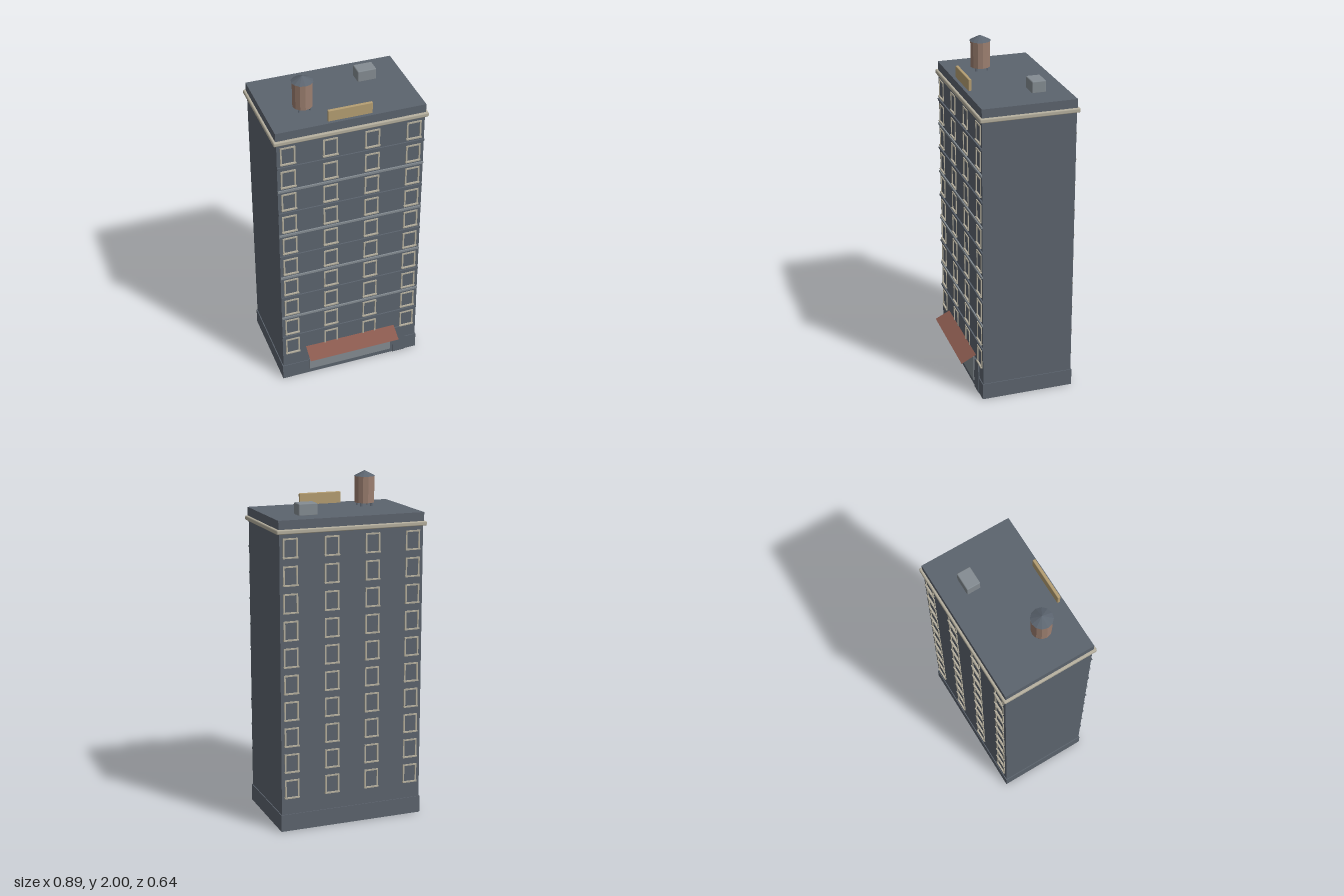
import * as THREE from 'three';
import { RoundedBoxGeometry } from 'three/addons/geometries/RoundedBoxGeometry.js';

const paint = (name, color, extra = {}) => {
  const m = new THREE.MeshStandardMaterial({ color, ...extra });
  m.name = name;
  return m;
};

export function createModel() {
  const wall = paint('slate wall', 0x5c646e);
  const stone = paint('pale stone', 0xb5af9e);
  const grey = paint('light grey', 0x848c92);
  const wood = paint('tank wood', 0x9c7f70, { flatShading: true });
  const capGrey = paint('tank cap', 0x5c6570, { flatShading: true });
  const tan = paint('tan board', 0xb59e72);
  const red = paint('awning red', 0x8a5a4e, { side: THREE.DoubleSide });

  const model = new THREE.Group();
  model.name = 'towerBlock';
  const add = (name, geo, mat, x, y, z, parent = model) => {
    const mesh = new THREE.Mesh(geo, mat);
    mesh.name = name;
    mesh.position.set(x, y, z);
    parent.add(mesh);
    return mesh;
  };
  // Box given by its bottom height
  const box = (name, mat, w, h, d, x, y0, z, parent) =>
    add(name, new THREE.BoxGeometry(w, h, d), mat, x, y0 + h / 2, z, parent);
  // Box with small chamfered edges
  const softBox = (name, mat, w, h, d, x, y0, z, r) =>
    add(name, new RoundedBoxGeometry(w, h, d, 1, r), mat, x, y0 + h / 2, z);

  // Main block, plinth, parapet and cornice
  const cx = -0.002, cz = -0.037;
  const front = cz + 0.27, back = cz - 0.27;
  box('body', wall, 0.856, 1.68, 0.54, cx, 0.05, cz);
  box('plinth', wall, 0.866, 0.1, 0.55, cx, 0, cz);
  box('parapet', wall, 0.866, 0.07, 0.544, cx, 1.725, cz);
  softBox('cornice', stone, 0.893, 0.026, 0.572, cx, 1.719, cz, 0.007);

  // Window surround: two jambs, a head and a projecting sill
  const W = 0.086, H = 0.108, T = 0.009;
  const makeWindow = () => {
    const g = new THREE.Group();
    for (const s of [-1, 1]) box('jamb', stone, T, H, 0.006, s * (W - T) / 2, 0, 0.002, g);
    box('head', stone, W, T, 0.006, 0, H - T, 0.002, g);
    box('sill', stone, W + 0.004, 0.008, 0.012, 0, -0.004, 0.004, g);
    return g;
  };
  const floorHeight = 0.1543;
  for (let row = 0; row < 10; row++) {
    const y = 0.2 + row * floorHeight;
    for (let col = 0; col < 4; col++) {
      const x = cx + (col - 1.5) * 0.2437;
      for (const s of [1, -1]) {
        const w = makeWindow();
        w.name = s > 0 ? 'frontWindow' : 'backWindow';
        w.position.set(x, y, s > 0 ? front : back);
        if (s < 0) w.rotation.y = Math.PI;
        model.add(w);
      }
    }
    // String course between floors, every second one pale
    if (row > 0) {
      box('stringCourse', row % 2 === 0 ? grey : wall, 0.856, 0.012, 0.01, cx, y - 0.03, front + 0.003);
    }
  }

  // Shop front: display window, door and sloping awning
  box('shopWindow', grey, 0.525, 0.16, 0.008, -0.003, 0.03, front + 0.005);
  box('door', wall, 0.078, 0.195, 0.01, 0.316, 0, front + 0.004);
  const rise = 0.045, reach = 0.322 - front;
  const awning = add('awning', new THREE.PlaneGeometry(0.568, Math.hypot(rise, reach)), red,
    -0.001, 0.193, front + reach / 2);
  awning.rotation.x = -Math.atan2(reach, rise);

  // Rooftop water tank
  const tank = new THREE.Group();
  tank.name = 'waterTank';
  tank.position.set(-0.217, 0, 0.043);
  model.add(tank);
  add('barrel', new THREE.CylinderGeometry(0.057, 0.057, 0.155, 12), wood, 0, 1.8925, 0, tank);
  add('tankRoof', new THREE.ConeGeometry(0.062, 0.032, 12), capGrey, 0, 1.984, 0, tank);
  for (const sx of [-1, 1]) for (const sz of [-1, 1]) {
    box('tankLeg', capGrey, 0.008, 0.03, 0.008, sx * 0.032, 1.79, sz * 0.032, tank);
  }

  // Blank roof board and ventilation unit
  softBox('roofBoard', tan, 0.256, 0.07, 0.018, -0.002, 1.791, 0.207, 0.004);
  softBox('ventUnit', grey, 0.111, 0.07, 0.082, 0.213, 1.791, -0.144, 0.006);
  return model;
}
